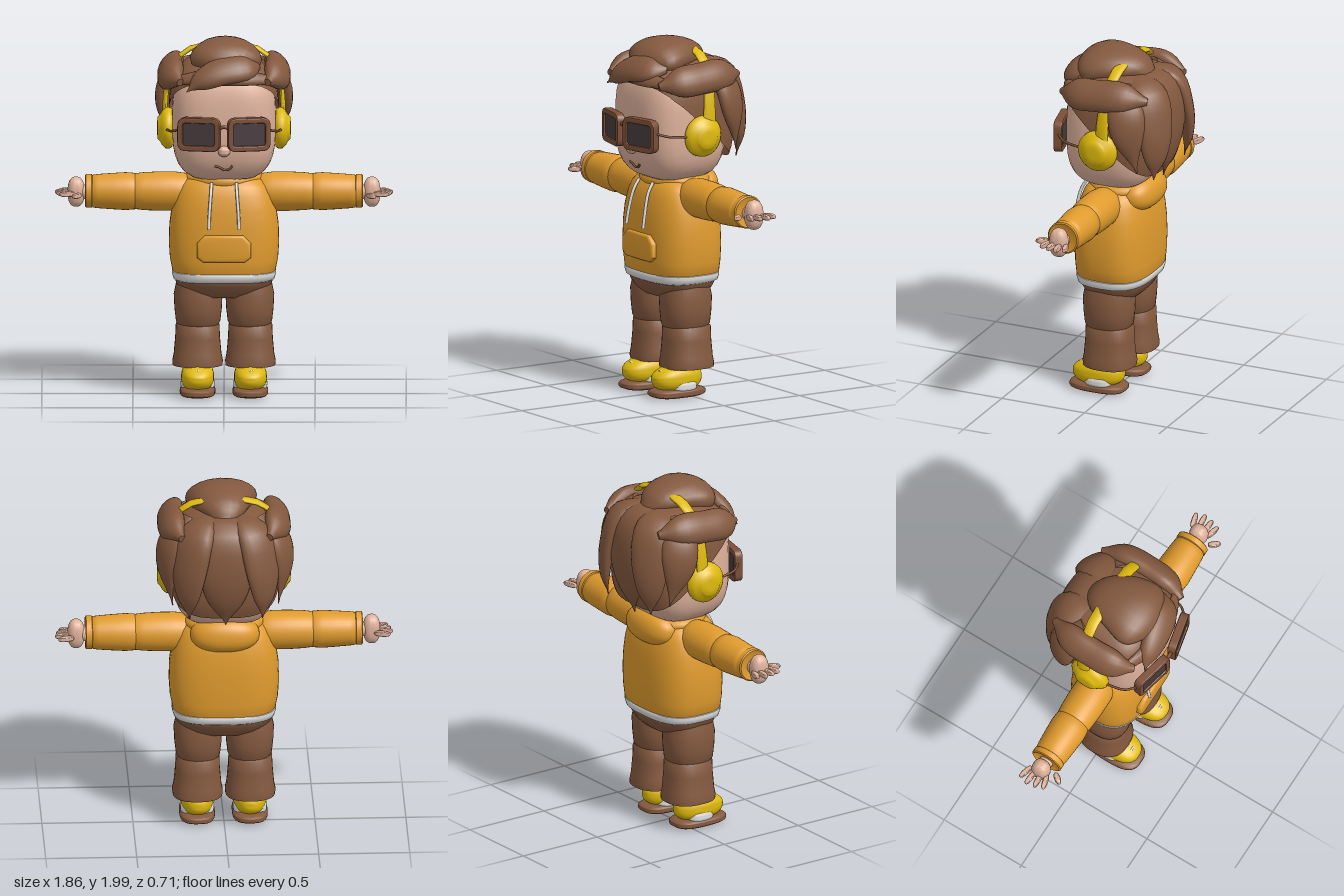
import * as THREE from 'three';
import { toCreasedNormals } from 'three/addons/utils/BufferGeometryUtils.js';

const mat = (name, color, side = THREE.FrontSide) => {
  const m = new THREE.MeshStandardMaterial({ color, side });
  m.name = name;
  return m;
};
const V = (x, y, z) => new THREE.Vector3(x, y, z);

export function createModel() {
  const root = new THREE.Group();
  root.name = 'figure';
  const skin = mat('skin', 0xdfb29c), brown = mat('brown', 0x84593f, THREE.DoubleSide);
  const orange = mat('orange', 0xe09b2d), yellow = mat('yellow', 0xdfba0c);
  const white = mat('white', 0xe0e0e0), frameBrown = mat('frameBrown', 0x7c4f36);
  const dark = mat('lens', 0x463b3d);

  const add = (name, geo, material, pos = [0, 0, 0], rot = [0, 0, 0]) => {
    const m = new THREE.Mesh(geo, material);
    m.name = name;
    m.position.set(...pos);
    m.rotation.set(...rot);
    root.add(m);
    return m;
  };

  // Joins rings { c, u, v } into a closed smooth skin
  const loft = (rings, n = 2, seg = 32, crease = 0.9) => {
    const pos = [], idx = [];
    const pw = t => Math.sign(t) * Math.abs(t) ** (2 / n);
    for (const { c, u, v } of rings)
      for (let j = 0; j < seg; j++) {
        const a = j / seg * Math.PI * 2;
        pos.push(...c.clone().addScaledVector(u, pw(Math.cos(a))).addScaledVector(v, pw(Math.sin(a))).toArray());
      }
    const last = rings.length - 1, e0 = rings.length * seg;
    pos.push(...rings[0].c.toArray(), ...rings[last].c.toArray());
    for (let j = 0; j < seg; j++) {
      const k = (j + 1) % seg;
      for (let i = 0; i < last; i++) {
        const a = i * seg + j, b = i * seg + k;
        idx.push(a, b, a + seg, b, b + seg, a + seg);
      }
      idx.push(e0, k, j, e0 + 1, last * seg + j, last * seg + k);
    }
    const g = new THREE.BufferGeometry();
    g.setAttribute('position', new THREE.Float32BufferAttribute(pos, 3));
    g.setIndex(idx);
    return toCreasedNormals(g, crease);
  };

  // Upright body from [y, halfWidth, halfDepth, zOffset] rows
  const stack = (rows, n, seg) => loft(rows.map(([y, rx, rz = rx, z = 0]) =>
    ({ c: V(0, y, z), u: V(rx, 0, 0), v: V(0, 0, -rz) })), n, seg);

  // Rounded block: a sphere pushed out to a superellipsoid
  const blob = (rx, ry, rz, n = 2, rule) => {
    const g = new THREE.SphereGeometry(1, 36, 24), p = g.attributes.position, q = V();
    for (let i = 0; i < p.count; i++) {
      q.fromBufferAttribute(p, i);
      const k = (Math.abs(q.x) ** n + Math.abs(q.y) ** n + Math.abs(q.z) ** n) ** (-1 / n);
      q.multiplyScalar(k);
      if (rule) rule(q);
      p.setXYZ(i, q.x * rx, q.y * ry, q.z * rz);
    }
    g.deleteAttribute('uv');
    g.deleteAttribute('normal');
    return toCreasedNormals(g, 1.2);
  };

  // Tapered strand along a curve, kept flat against the head
  const lock = (pts, widths, depths, centre = V(0, 1.6, 0)) => {
    const curve = new THREE.CatmullRomCurve3(pts.map(p => V(...p))), N = 18;
    const w = new THREE.SplineCurve(widths.map((y, i) => new THREE.Vector2(i, y)));
    const d = new THREE.SplineCurve(depths.map((y, i) => new THREE.Vector2(i, y)));
    const rings = [];
    for (let i = 0; i <= N; i++) {
      const t = i / N, c = curve.getPoint(t), T = curve.getTangent(t);
      const u = c.clone().sub(centre).cross(T).normalize(), v = T.clone().cross(u);
      rings.push({ c, u: u.multiplyScalar(Math.max(w.getPoint(t).y, 0.003)), v: v.multiplyScalar(Math.max(d.getPoint(t).y, 0.003)) });
    }
    return loft(rings, 2, 20, 1.1);
  };
  const tube = (pts, r) => new THREE.TubeGeometry(new THREE.CatmullRomCurve3(pts.map(p => V(...p))), 16, r, 8);

  // Head and face
  add('head', blob(0.285, 0.33, 0.255, 3.3), skin, [0, 1.53, 0.02]);
  add('nose', blob(0.033, 0.03, 0.03), skin, [0, 1.39, 0.275]);
  add('mouth', tube([[-0.05, 1.305, 0.252], [-0.025, 1.298, 0.253], [0, 1.284, 0.25], [0.03, 1.288, 0.25], [0.047, 1.308, 0.252]], 0.006), frameBrown);

  // Glasses
  const roundRect = (C, w, h, r) => {
    const s = new C(), x = w / 2, y = h / 2;
    s.moveTo(-x + r, -y).lineTo(x - r, -y).quadraticCurveTo(x, -y, x, -y + r).lineTo(x, y - r).quadraticCurveTo(x, y, x - r, y);
    s.lineTo(-x + r, y).quadraticCurveTo(-x, y, -x, y - r).lineTo(-x, -y + r).quadraticCurveTo(-x, -y, -x + r, -y);
    return s;
  };
  const rim = roundRect(THREE.Shape, 0.225, 0.172, 0.04);
  rim.holes.push(roundRect(THREE.Path, 0.192, 0.138, 0.025));
  const rimGeo = new THREE.ExtrudeGeometry(rim, { depth: 0.035, bevelSize: 0.007, bevelThickness: 0.007, bevelSegments: 2 }).translate(0, 0, -0.018);
  for (const s of [1, -1]) {
    add('glassesRim', rimGeo, frameBrown, [s * 0.136, 1.49, 0.305], [0, s * 0.22, 0]);
    add('lens', new THREE.BoxGeometry(0.2, 0.145, 0.03), dark, [s * 0.136, 1.49, 0.303], [0, s * 0.22, 0]);
    add('glassesTemple', tube([[s * 0.245, 1.51, 0.275], [s * 0.29, 1.495, 0.22], [s * 0.315, 1.485, 0.1]], 0.007), frameBrown);
  }
  add('glassesBridge', tube([[-0.035, 1.52, 0.325], [0, 1.535, 0.33], [0.035, 1.52, 0.325]], 0.01), frameBrown);

  // Hair cap, ending on a slanted hairline from the forehead to the nape
  const capPoint = (a, f) => {
    const q = V(Math.sin(f) * Math.cos(a), Math.cos(f), Math.sin(f) * Math.sin(a)), n = 3.3;
    q.multiplyScalar((Math.abs(q.x) ** n + Math.abs(q.y) ** n + Math.abs(q.z) ** n) ** (-1 / n));
    return V(q.x * 0.302, 1.55 + q.y * 0.335, q.z * 0.285);
  };
  const capPos = [], capIdx = [], S = 64, R = 20;
  for (let j = 0; j <= S; j++) {
    const a = j / S * Math.PI * 2;
    let f = 0.05;
    for (let p = capPoint(a, f); p.y > 1.54 + 0.88 * p.z && f < 3; f += 0.01) p = capPoint(a, f);
    for (let i = 0; i <= R; i++) capPos.push(...capPoint(a, f * i / R).toArray());
  }
  for (let j = 0; j < S; j++)
    for (let i = 0; i < R; i++) {
      const a = j * (R + 1) + i, b = a + R + 1;
      capIdx.push(a, b, a + 1, b, b + 1, a + 1);
    }
  const cap = new THREE.BufferGeometry();
  cap.setAttribute('position', new THREE.Float32BufferAttribute(capPos, 3));
  cap.setIndex(capIdx);
  add('hairCap', toCreasedNormals(cap, 1), brown);

  // Back and side locks
  add('backLock', lock([[0, 1.86, -0.08], [0, 1.8, -0.24], [0, 1.6, -0.295], [0, 1.42, -0.28], [0, 1.27, -0.245]],
    [0.09, 0.15, 0.15, 0.1, 0], [0.03, 0.05, 0.045, 0.035, 0]), brown);
  for (const s of [1, -1]) {
    add('backSideLock', lock([[s * 0.09, 1.85, -0.08], [s * 0.16, 1.8, -0.23], [s * 0.2, 1.62, -0.285], [s * 0.21, 1.45, -0.295], [s * 0.2, 1.32, -0.28]],
      [0.07, 0.11, 0.11, 0.07, 0], [0.03, 0.05, 0.045, 0.03, 0]), brown);
    add('templeLock', lock([[s * 0.2, 1.84, -0.08], [s * 0.29, 1.75, -0.15], [s * 0.32, 1.6, -0.18], [s * 0.29, 1.38, -0.22]],
      [0.06, 0.1, 0.09, 0], [0.03, 0.045, 0.04, 0]), brown);
    add('sideClump', lock([[s * 0.24, 1.79, -0.26], [s * 0.285, 1.81, -0.14], [s * 0.295, 1.8, 0.02], [s * 0.285, 1.79, 0.15], [s * 0.24, 1.77, 0.255]],
      [0.02, 0.085, 0.09, 0.085, 0.02], [0.02, 0.055, 0.06, 0.055, 0.02]), brown);
  }
  // Swept quiff
  add('quiff', lock([[0, 1.83, -0.175], [0, 1.885, -0.1], [0.01, 1.895, 0.04], [0.01, 1.87, 0.16], [0.01, 1.83, 0.25]],
    [0.05, 0.12, 0.18, 0.19, 0.07], [0.03, 0.07, 0.1, 0.095, 0.04]), brown);
  add('quiffSwoop', lock([[0.18, 1.85, 0.16], [0.12, 1.85, 0.23], [-0.02, 1.83, 0.265], [-0.13, 1.78, 0.28], [-0.205, 1.725, 0.3]],
    [0.03, 0.08, 0.085, 0.06, 0], [0.02, 0.04, 0.045, 0.04, 0]), brown);
  add('fringe', lock([[0.24, 1.78, 0.22], [0.13, 1.795, 0.26], [0, 1.795, 0.265], [-0.13, 1.795, 0.26], [-0.24, 1.78, 0.22]],
    [0.03, 0.045, 0.045, 0.045, 0.03], [0.015, 0.022, 0.022, 0.022, 0.015]), brown);

  // Headphones
  add('headband', lock([[0.325, 1.5, -0.02], [0.32, 1.66, -0.025], [0.29, 1.8, -0.035], [0.2, 1.905, -0.05], [0, 1.94, -0.05],
    [-0.2, 1.905, -0.05], [-0.29, 1.8, -0.035], [-0.32, 1.66, -0.025], [-0.325, 1.5, -0.02]],
    [0.04, 0.035, 0.03, 0.033, 0.033, 0.033, 0.03, 0.035, 0.04], Array(9).fill(0.014), V(0, 1.6, -0.04)), yellow);
  const cup = stack([[0, 0.08], [0.01, 0.105], [0.025, 0.115], [0.045, 0.113], [0.065, 0.095], [0.075, 0.075], [0.08, 0.07], [0.09, 0.06], [0.092, 0.03]]);
  for (const s of [1, -1]) add('earCup', cup, yellow, [s * 0.275, 1.48, 0.01], [0, 0, -s * Math.PI / 2]);

  // Hoodie
  add('hoodieBody', stack([[0.675, 0.27, 0.2], [0.7, 0.285, 0.21], [0.76, 0.297, 0.213], [0.85, 0.303, 0.215], [0.95, 0.3, 0.212], [1.04, 0.288, 0.205],
    [1.12, 0.268, 0.19], [1.17, 0.243, 0.172], [1.2, 0.215, 0.15], [1.215, 0.18, 0.13]].map(r => [...r, 0.01]), 2.8, 48), orange);
  add('collar', new THREE.TorusGeometry(0.185, 0.035, 12, 40).scale(1, 0.85, 1), orange, [0, 1.2, -0.01], [Math.PI / 2, 0, 0]);
  add('hood', blob(0.19, 0.1, 0.105, 2.3), orange, [0, 1.165, -0.125], [0.15, 0, 0]);
  add('shirtHem', stack([[0.643, 0.262, 0.19], [0.65, 0.278, 0.202], [0.675, 0.286, 0.209], [0.692, 0.286, 0.209], [0.7, 0.27, 0.2]].map(r => [...r, 0.01]), 2.8, 48), white);
  const pocket = new THREE.Shape([[-0.11, -0.06], [0.11, -0.06], [0.135, -0.04], [0.135, 0.025], [0.1, 0.06], [-0.1, 0.06], [-0.135, 0.025], [-0.135, -0.04]].map(p => new THREE.Vector2(...p)));
  add('pocket', toCreasedNormals(new THREE.ExtrudeGeometry(pocket, { depth: 0.03, bevelSize: 0.014, bevelThickness: 0.014, bevelSegments: 3 }), 0.8), orange, [0, 0.84, 0.2]);
  for (const s of [1, -1])
    add('drawstring', tube([[s * 0.068, 1.2, 0.18], [s * 0.072, 1.14, 0.215], [s * 0.08, 1.03, 0.242], [s * 0.083, 0.95, 0.255]], 0.009), white);

  // Arms and hands
  const upperArm = stack([[0.18, 0.085], [0.21, 0.1], [0.27, 0.108], [0.36, 0.108], [0.44, 0.104], [0.49, 0.098], [0.51, 0.085]]);
  const forearm = stack([[0.47, 0.085], [0.49, 0.1], [0.54, 0.104], [0.62, 0.099], [0.69, 0.094], [0.72, 0.09], [0.728, 0.08]]);
  const cuff = stack([[0.722, 0.082], [0.726, 0.092], [0.757, 0.092], [0.762, 0.085], [0.755, 0.07]]);
  for (const s of [1, -1]) {
    const along = [0, 0, -s * Math.PI / 2];
    add('upperSleeve', upperArm, orange, [0, 1.128, 0.01], along);
    add('lowerSleeve', forearm, orange, [0, 1.128, 0.01], along);
    add('cuff', cuff, orange, [0, 1.13, 0.01], along);
    add('wrist', new THREE.CylinderGeometry(0.04, 0.04, 0.08, 20), skin, [s * 0.76, 1.125, 0.01], along);
    add('palm', blob(0.047, 0.083, 0.052, 2.4), skin, [s * 0.812, 1.125, 0.01]);
    [[0.912, -0.055, 0.25], [0.928, -0.015, 0.08], [0.92, 0.028, -0.08], [0.905, 0.067, -0.25]].forEach(([tip, z, yaw]) =>
      add('finger', blob(0.045, 0.016, 0.016, 2.5), skin, [s * (tip - 0.044), 1.12, z], [0, s * yaw, 0]));
    add('thumb', blob(0.036, 0.016, 0.017, 2.5), skin, [s * 0.808, 1.118, 0.113], [0, -s * 0.9, 0]);
  }

  // Trousers
  add('hips', stack([[0.555, 0.2, 0.13], [0.58, 0.235, 0.155], [0.62, 0.262, 0.18], [0.66, 0.275, 0.198], [0.68, 0.26, 0.19]].map(r => [...r, 0.01]), 2.6, 48), brown);
  const thigh = stack([[0.39, 0.11, 0.12], [0.41, 0.122, 0.133], [0.48, 0.13, 0.14], [0.56, 0.134, 0.143], [0.63, 0.12, 0.13]].map(r => [...r, 0.015]), 2.3);
  const shin = stack([[0.165, 0.125, 0.13], [0.167, 0.137, 0.145], [0.19, 0.139, 0.146], [0.23, 0.131, 0.139], [0.32, 0.123, 0.132], [0.39, 0.12, 0.13], [0.42, 0.1, 0.11]].map(r => [...r, 0.01]), 2.4);
  // Shoe upper, lowered toward the toe
  const shoe = blob(0.09, 0.075, 0.15, 2.5, q => {
    if (q.z > 0 && q.y > 0) q.y *= 1 - 0.4 * q.z * q.z;
    if (q.z < 0) q.x *= 1 - 0.15 * q.z * q.z;
  });
  for (const s of [1, -1]) {
    add('trouserThigh', thigh, brown, [s * 0.142, 0, 0]);
    add('trouserShin', shin, brown, [s * 0.145, 0, 0]);
    add('sole', blob(0.098, 0.029, 0.165, 3), brown, [s * 0.145, 0.03, 0.075]);
    add('shoe', shoe, yellow, [s * 0.145, 0.11, 0.075]);
    add('shoePanel', blob(0.093, 0.045, 0.085, 3), white, [s * 0.145, 0.068, 0.06]);
    for (let i = 0; i < 3; i++)
      add('lace', tube([[-0.04, -0.012, 0], [0, 0.006, 0], [0.04, -0.012, 0]], 0.007), white, [s * 0.145, 0.175 - i * 0.013, 0.12 + i * 0.03]);
  }
  return root;
}
